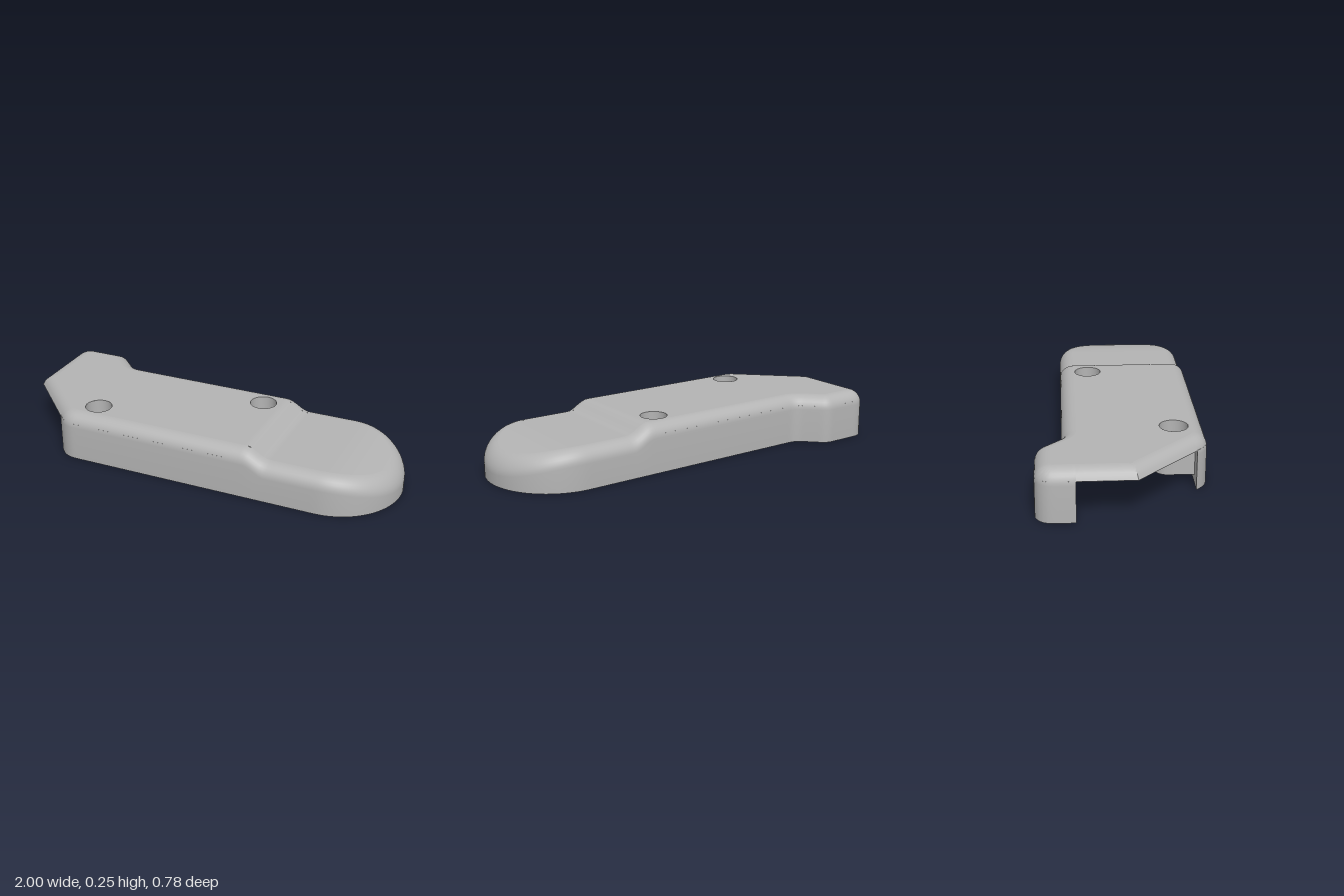
import * as THREE from 'three';
import { toCreasedNormals } from 'three/addons/utils/BufferGeometryUtils.js';

const R = 0.07;          // top edge fillet
const ROOF = 0.05;       // roof thickness
const SPLIT = 0.28;      // roof is flat left of this x
const ZC = 0.0575, XC = 0.6675, HALF = 0.3325, INNER = 0.2775; // round end

// Roof height: raised deck, step down, then a curve towards the round end
function height(x) {
  const s = THREE.MathUtils.smoothstep(x, 0.3, 0.42);
  const t = Math.max(0, (x - 0.68) / 0.32);
  return 0.245 - 0.05 * s - 0.07 * t * t;
}

// Turns corners [x, z, radius] into a finely sampled plan outline
function outline(corners, closed = true, step = 0.02) {
  const raw = [];
  const n = corners.length;
  corners.forEach(([x, z, r = 0], i) => {
    const p = new THREE.Vector2(x, z);
    if (!r) { raw.push(p); return; }
    const a = corners[(i + n - 1) % n], b = corners[(i + 1) % n];
    const u = new THREE.Vector2(a[0] - x, a[1] - z).normalize();
    const v = new THREE.Vector2(b[0] - x, b[1] - z).normalize();
    const half = Math.acos(u.dot(v)) / 2;
    const c = u.clone().add(v).normalize().multiplyScalar(r / Math.sin(half)).add(p);
    const start = u.clone().multiplyScalar(r / Math.tan(half)).add(p);
    const sweep = (Math.PI - 2 * half) * Math.sign(v.x * u.y - v.y * u.x);
    const count = Math.max(6, Math.ceil(r * 60));
    for (let k = 0; k <= count; k++) {
      raw.push(start.clone().rotateAround(c, -sweep * k / count * -1));
    }
  });
  const pts = [];
  raw.forEach((p, i) => {
    if (!closed && i === raw.length - 1) { pts.push(p); return; }
    const q = raw[(i + 1) % raw.length];
    const d = p.distanceTo(q);
    if (d < 1e-6) return;
    const m = Math.max(1, Math.ceil(d / step - 1e-6));
    for (let k = 0; k < m; k++) pts.push(p.clone().lerp(q, k / m));
  });
  return pts;
}

// Moves a closed outline inwards
function inset(pts, d) {
  const n = pts.length;
  const normal = (a, b) => new THREE.Vector2(a.y - b.y, b.x - a.x).normalize();
  return pts.map((p, i) => {
    const n1 = normal(pts[(i + n - 1) % n], p), n2 = normal(p, pts[(i + 1) % n]);
    return n1.clone().add(n2).multiplyScalar(-d / (1 + n1.dot(n2))).add(p);
  });
}

// Surface through rows of [x, y, z] points
function grid(rows) {
  const w = rows[0].length, index = [];
  for (let i = 0; i < rows.length - 1; i++) {
    for (let j = 0; j < w - 1; j++) {
      const a = i * w + j, d = a + w;
      index.push(a, a + 1, d + 1, a, d + 1, d);
    }
  }
  const g = new THREE.BufferGeometry();
  g.setAttribute('position', new THREE.Float32BufferAttribute(rows.flat(2), 3));
  g.setIndex(index);
  return toCreasedNormals(g, 0.5);
}

// Flat face from a plan outline, facing up or down
function flat(pts, y, up, holes = []) {
  const s = up ? -1 : 1;
  const shape = new THREE.Shape(pts
    .filter((p, i) => p.distanceTo(pts[(i + 1) % pts.length]) > 1e-6)
    .map(p => new THREE.Vector2(p.x, s * p.y)));
  for (const h of holes) {
    if (Array.isArray(h)) shape.holes.push(new THREE.Path(h.map(p => new THREE.Vector2(p.x, s * p.y))));
    else shape.holes.push(new THREE.Path().absarc(h.x, s * h.z, h.r, 0, Math.PI * 2, true));
  }
  return new THREE.ShapeGeometry(shape, 20).rotateX(s * Math.PI / 2).translate(0, y, 0);
}

export function createModel() {
  const model = new THREE.Group();
  model.name = 'cover';
  const grey = new THREE.MeshStandardMaterial({ color: 0xb4b4b4, side: THREE.DoubleSide });
  grey.name = 'grey';
  const add = (name, geometry) => {
    const m = new THREE.Mesh(geometry, grey);
    m.name = name;
    model.add(m);
  };
  const level = (pts, y) => pts.map(p => [p.x, y, p.y]);

  // Plan outline, from the front wall's end round to the foot and the open corner
  const plan = outline([
    [-0.715, 0.335], [-0.66, 0.39, 0.12], [1, 0.39, HALF], [1, -0.275, HALF],
    [-0.6, -0.275, 0.09], [-0.72, -0.395, 0.08], [-1, -0.395, 0.08],
    [-1, -0.215], [-1, 0.05],
  ]);
  const wallEnd = plan.findIndex(p => Math.hypot(p.x + 1, p.y + 0.215) < 1e-5);
  const under = 0.245 - ROOF;

  // Rounded edge rings
  const rings = [];
  for (let k = 0; k <= 8; k++) {
    const a = k / 8 * Math.PI / 2;
    rings.push(inset(plan, R * (1 - Math.cos(a))).map(p => [p.x, height(p.x) - R * (1 - Math.sin(a)), p.y]));
  }
  const walled = rings.map(r => r.slice(0, wallEnd + 1));
  add('outerWall', grid([level(plan.slice(0, wallEnd + 1), 0), ...walled]));
  add('overhangEdge', grid(rings.map(r => [...r.slice(wallEnd), r[0]]
    .map(([x, y, z]) => [x, Math.max(y, under), z]))));

  // Roof: flat deck with screw holes, then the stepped and curved end
  const screws = [{ x: -0.54, z: 0.245, wall: 0.345 }, { x: 0.21, z: -0.13, wall: -0.225 }];
  const bores = screws.map(s => ({ x: s.x, z: s.z, r: 0.067 }));
  const clamp = pts => pts.map(p => new THREE.Vector2(Math.min(p.x, SPLIT), p.y));
  add('deck', flat(clamp(inset(plan, R)), 0.245, true, bores));
  add('deckUnderside', flat(clamp(inset(plan, 0.003)), under, false, bores));

  const endRows = (w, drop) => {
    const xs = [];
    for (let k = 0; k < 24; k++) xs.push(SPLIT + (XC - SPLIT) * k / 24);
    for (let k = 0; k <= 24; k++) xs.push(XC + w * Math.sin(k / 24 * Math.PI / 2));
    return [1, -1].map(side => xs.map(x => {
      const dx = Math.max(0, x - XC);
      return [x, height(x) - drop, ZC + side * Math.sqrt(Math.max(0, w * w - dx * dx))];
    }));
  };
  add('loweredEnd', grid(endRows(HALF - R, 0)));
  add('loweredEndUnderside', grid(endRows(INNER, ROOF).reverse()));

  // Inner wall face and the bottom rim, with a slot in the foot
  const inner = outline([
    [-1, -0.215], [XC + INNER, ZC - INNER + 0.005, 0.2725],
    [XC + INNER, ZC + INNER, 0.2725], [-0.715, 0.335],
  ].map(([x, z, r]) => [x, THREE.MathUtils.clamp(z, -0.215, 0.335), r]), false);
  add('innerWall', grid([level(inner, 0), inner.map(p => [p.x, height(p.x) - ROOF, p.y])]));
  const slot = outline([
    [-0.94, -0.27], [-0.68, -0.27], [-0.745, -0.34], [-0.94, -0.34, 0.025],
  ]).reverse();
  add('rim', flat([...plan.slice(0, wallEnd), ...inner], 0, false, [slot]));
  const slotLoop = [...slot, slot[0]];
  add('footSlot', grid([level(slotLoop, 0), level(slotLoop, under)]));

  // Bosses against the walls, open at the top where they meet the roof
  const boss = (name, x, half, z0, z1, wallInFront, base, holes) => {
    const f = wallInFront ? 0 : 0.065, b = wallInFront ? 0.065 : 0;
    const o = outline([[x - half, z1, f], [x + half, z1, f], [x + half, z0, b], [x - half, z0, b]]);
    const loop = [...o, o[0]];
    add(name, grid([level(loop, base), loop.map(p => [p.x, height(p.x) - ROOF, p.y])]));
    add(name + 'Face', flat(o, base, false, holes));
  };
  const base = 0.04;
  for (const { x, z, wall } of screws) {
    const front = wall > z;
    boss('screwBoss', x, 0.095, front ? z - 0.095 : wall, front ? wall : z + 0.095, front, base, [{ x, z, r: 0.031 }]);
    // Counterbored screw hole
    const profile = [[0.031, base], [0.031, 0.12], [0.067, 0.12], [0.067, 0.245]];
    const bore = new THREE.LatheGeometry(profile.map(p => new THREE.Vector2(...p)).reverse(), 32);
    add('screwHole', toCreasedNormals(bore, 0.5).translate(x, 0, z));
  }
  boss('supportPost', 0.25, 0.068, 0.22, 0.345, true, base, []);
  return model;
}
